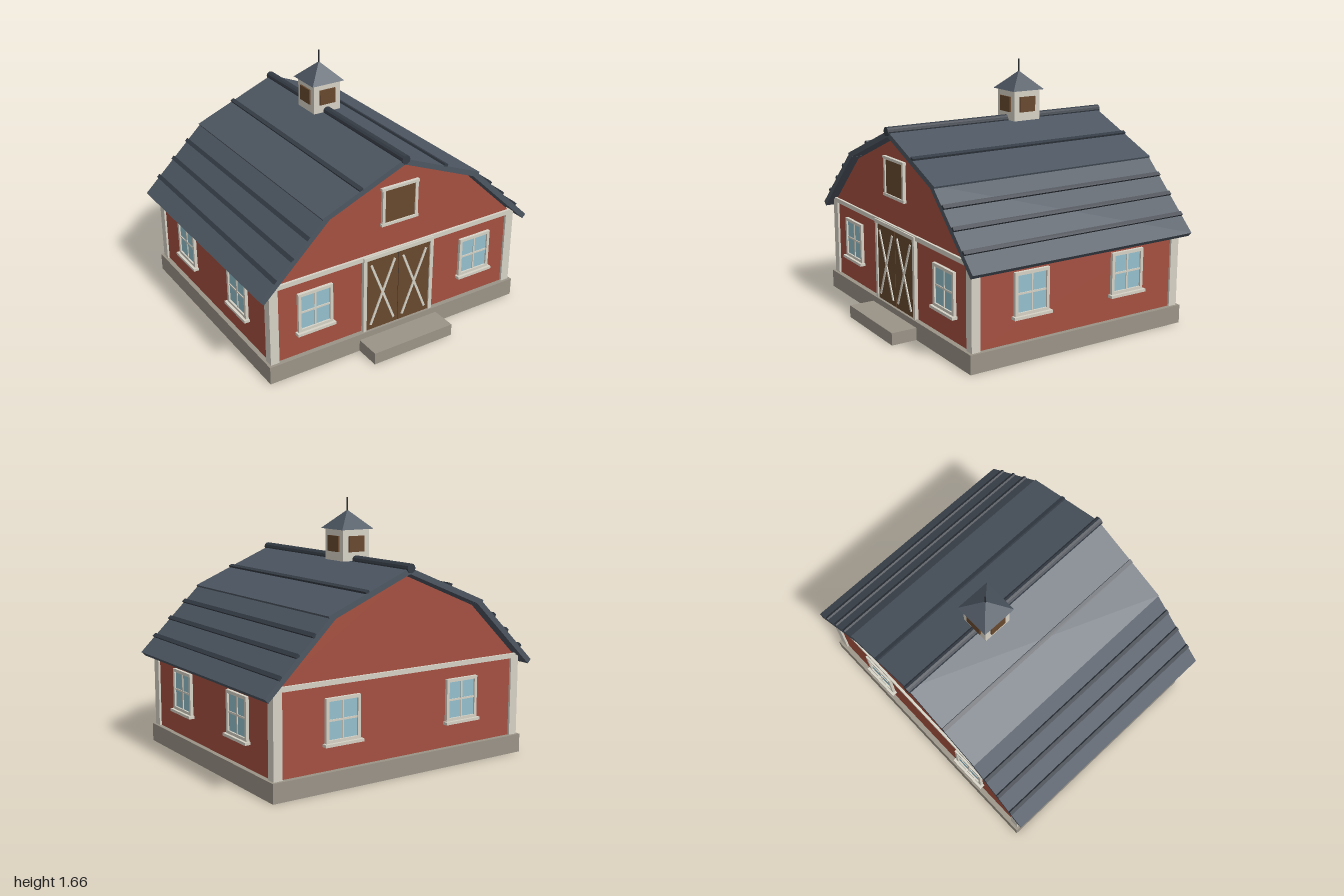
import * as THREE from 'three';

const mat = (color, extra = {}) => new THREE.MeshStandardMaterial({ color, flatShading: true, ...extra });
const RED = mat(0xa45040), ROOF = mat(0x4d5661), SEAM = mat(0x353c45), TRIM = mat(0xd6d2c6);
const STONE = mat(0x9a9387), WOOD = mat(0x68482e), GLASS = mat(0x94c0cd), DARK = mat(0x25272b);

function add(parent, name, geometry, material, x = 0, y = 0, z = 0) {
  const mesh = new THREE.Mesh(geometry, material);
  mesh.name = name;
  mesh.position.set(x, y, z);
  parent.add(mesh);
  return mesh;
}
const box = (parent, name, material, w, h, d, x, y, z) =>
  add(parent, name, new THREE.BoxGeometry(w, h, d), material, x, y, z);

function group(parent, name, x = 0, y = 0, z = 0, turn = 0) {
  const g = new THREE.Group();
  g.name = name;
  g.position.set(x, y, z);
  g.rotation.y = turn;
  parent.add(g);
  return g;
}

// Four-pane window facing +z, its back on the wall plane
function addWindow(parent, name, x, z, turn) {
  const g = group(parent, name, x, 0.42, z, turn);
  box(g, 'glass', GLASS, 0.22, 0.24, 0.01, 0, 0, 0.004);
  for (const s of [-1, 1]) {
    box(g, 'frameSide', TRIM, 0.02, 0.27, 0.02, s * 0.112, 0, 0.01);
    box(g, 'frameRail', TRIM, 0.244, 0.02, 0.02, 0, s * 0.125, 0.01);
  }
  box(g, 'verticalMuntin', TRIM, 0.012, 0.24, 0.014, 0, 0, 0.007);
  box(g, 'horizontalMuntin', TRIM, 0.22, 0.012, 0.014, 0, 0, 0.007);
  box(g, 'sill', TRIM, 0.27, 0.018, 0.037, 0, -0.142, 0.0185);
}

// Roof slab whose top edge runs from a to b, with raised seams at the given x
function addSlab(parent, name, a, b, depth, seams) {
  const t = 0.035, dx = b[0] - a[0], dy = b[1] - a[1], len = Math.hypot(dx, dy);
  const g = group(parent, name, a[0], a[1], 0);
  g.rotation.z = Math.atan2(dy, dx);
  box(g, 'slab', ROOF, len, t, depth, len / 2, -t / 2, 0);
  for (const x of seams) box(g, 'seam', SEAM, 0.027, 0.018, depth, ((x - a[0]) / dx) * len, 0.005, 0);
}

export function createModel() {
  const model = new THREE.Group();
  model.name = 'barn';
  const barn = group(model, 'building', 0, 0, -0.073);
  const W = 0.91, D = 0.76; // half width and half depth of the walls

  // Base and entrance step
  box(barn, 'foundation', STONE, 1.88, 0.12, 1.586, 0, 0.06, 0);
  box(model, 'step', STONE, 0.594, 0.08, 0.172, 0, 0.04, 0.805);

  // Walls as one extruded gambrel profile
  const profile = new THREE.Shape([[-W, 0.12], [W, 0.12], [W, 0.638], [0.53, 1.003], [0, 1.225],
    [-0.53, 1.003], [-W, 0.638]].map(([x, y]) => new THREE.Vector2(x, y)));
  add(barn, 'walls', new THREE.ExtrudeGeometry(profile, { depth: 2 * D, bevelEnabled: false }), RED, 0, 0, -D);

  // Corner posts and gable bands
  for (const sz of [-1, 1]) {
    for (const sx of [-1, 1])
      box(barn, 'cornerPost', TRIM, 0.06, 0.525, 0.06, sx * 0.894, 0.3825, sz * 0.745);
    box(barn, 'gableBand', TRIM, 1.8, 0.03, 0.024, 0, 0.645, sz * (D + 0.004));
  }

  // Windows on all four walls
  for (const s of [-1, 1]) {
    addWindow(barn, 'frontWindow', s * 0.607, D, 0);
    addWindow(barn, 'backWindow', s * 0.45, -D, Math.PI);
    for (const z of [-0.358, 0.358]) addWindow(barn, 'sideWindow', s * W, z, s * Math.PI / 2);
  }

  // Double door with cross braces
  const door = group(barn, 'doubleDoor', 0, 0, D);
  for (const s of [-1, 1]) {
    box(door, 'doorLeaf', WOOD, 0.237, 0.505, 0.016, s * 0.1205, 0.3725, 0.008);
    box(door, 'doorPost', TRIM, 0.025, 0.515, 0.024, s * 0.2525, 0.3775, 0.012);
    for (const lean of [-1, 1]) {
      const brace = box(door, 'crossBrace', TRIM, 0.015, 0.468, 0.01, s * 0.12, 0.372, 0.018);
      brace.rotation.z = lean * Math.atan2(0.175, 0.432);
    }
  }
  box(door, 'doorHeader', TRIM, 0.53, 0.025, 0.024, 0, 0.642, 0.013);
  box(door, 'doorGap', DARK, 0.006, 0.5, 0.012, 0, 0.3725, 0.006);

  // Loft hatch
  const hatch = group(barn, 'loftHatch', 0, 0.966, D);
  box(hatch, 'hatchPanel', WOOD, 0.23, 0.23, 0.012, 0, 0, 0.006);
  for (const s of [-1, 1]) {
    box(hatch, 'hatchSide', TRIM, 0.02, 0.25, 0.02, s * 0.121, 0, 0.01);
    box(hatch, 'hatchRail', TRIM, 0.275, 0.018, 0.022, 0, s * 0.12, 0.011);
  }

  // Gambrel roof, one half turned round for the other side
  const roof = group(barn, 'roof');
  for (const turn of [0, Math.PI]) {
    const half = group(roof, 'roofHalf', 0, 0, 0, turn);
    addSlab(half, 'upperRoof', [0, 1.275], [0.578, 1.037], 1.626, [0.308]);
    addSlab(half, 'lowerRoof', [0.555, 1.043], [1, 0.615], 1.626, [0.67, 0.78, 0.895]);
  }
  const ridge = add(roof, 'ridgeCap', new THREE.CylinderGeometry(0.029, 0.029, 1.646, 12), SEAM, 0, 1.272, 0);
  ridge.rotation.x = Math.PI / 2;

  // Cupola with louvres, pyramid roof and finial
  const cupola = group(model, 'cupola', 0, 0, -0.235);
  box(cupola, 'cupolaBody', TRIM, 0.198, 0.2, 0.198, 0, 1.366, 0);
  for (let i = 0; i < 4; i++) {
    const face = group(cupola, 'louvreFace', 0, 1.373, 0, i * Math.PI / 2);
    box(face, 'louvre', WOOD, 0.116, 0.1, 0.016, 0, 0, 0.102);
  }
  const cap = add(cupola, 'cupolaRoof', new THREE.ConeGeometry(0.12 * Math.SQRT2, 0.118, 4), ROOF, 0, 1.523, 0);
  cap.rotation.y = Math.PI / 4;
  add(cupola, 'finial', new THREE.CylinderGeometry(0.005, 0.005, 0.1, 8), DARK, 0, 1.61, 0);

  return model;
}
